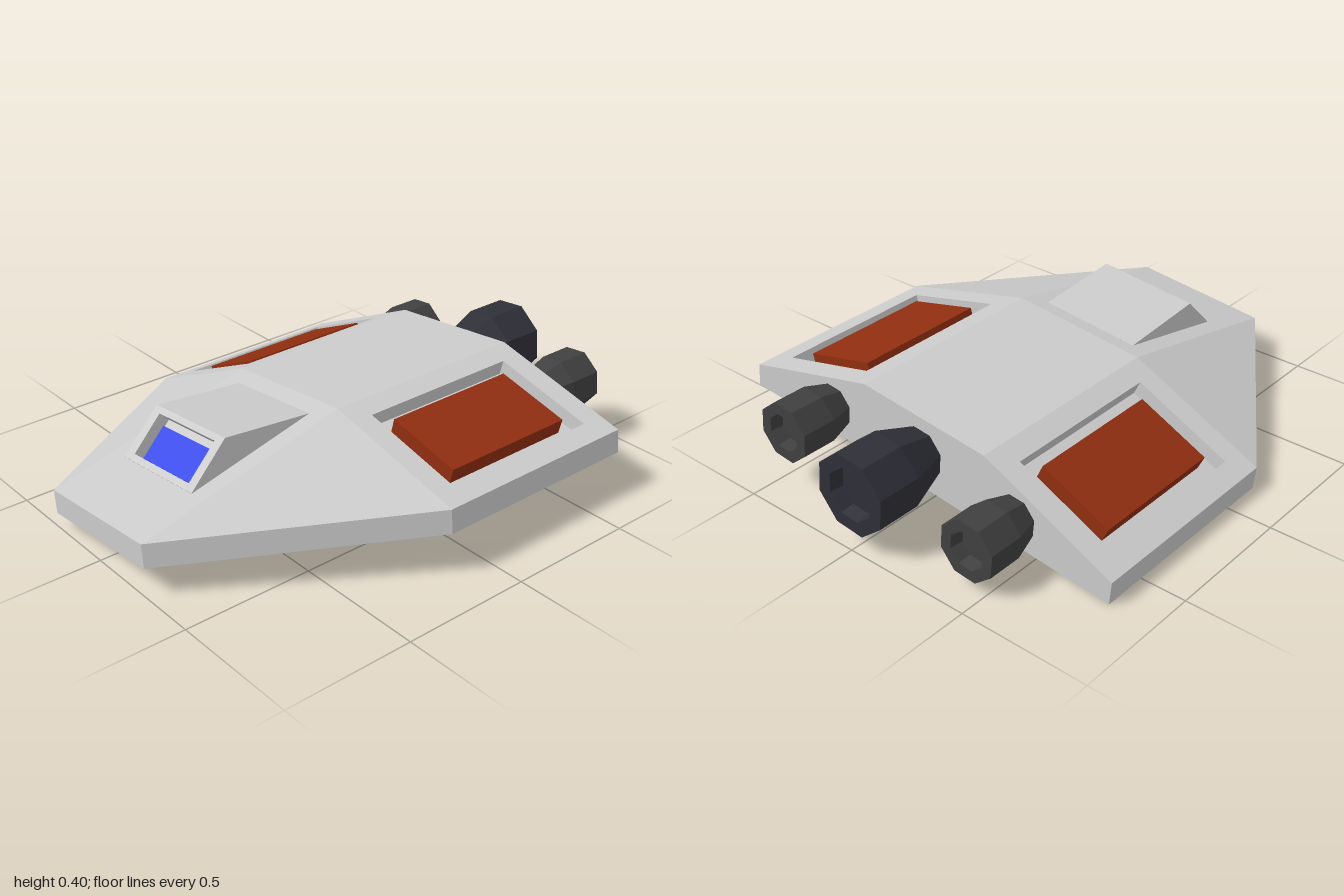
import * as THREE from 'three';

const hullMat = new THREE.MeshStandardMaterial({ color: 0xcccccc, flatShading: true });
const paint = (color) => new THREE.MeshStandardMaterial({ color, flatShading: true, side: THREE.DoubleSide });

// Hull dimensions: half widths, heights and stations along z
const W = 0.832, R = 0.277, H = 0.09, T = 0.284;
const BACK = -0.67, MID = 0.16, NOSE = 1;

function add(parent, name, geometry, material) {
  const mesh = new THREE.Mesh(geometry, material);
  mesh.name = name;
  parent.add(mesh);
  return mesh;
}

// Flat-sided solid from convex polygons, each listed counter-clockwise from outside
function faceted(polygons) {
  const pos = [];
  for (const p of polygons)
    for (let i = 1; i < p.length - 1; i++) pos.push(...p[0], ...p[i], ...p[i + 1]);
  const g = new THREE.BufferGeometry();
  g.setAttribute('position', new THREE.Float32BufferAttribute(pos, 3));
  g.computeVertexNormals();
  return g;
}

// Same polygon on the other side of the hull
const mirror = (poly) => poly.map(([x, y, z]) => [-x, y, z]).reverse();

// Group lying on a sloped facet: local x and y along it, local z outward
function onFacet(parent, name, origin, xDir, yDir) {
  const x = new THREE.Vector3(...xDir).normalize();
  const y = new THREE.Vector3(...yDir).normalize();
  const group = new THREE.Group();
  group.name = name;
  group.applyMatrix4(new THREE.Matrix4().makeBasis(x, y, x.clone().cross(y)).setPosition(...origin));
  parent.add(group);
  return group;
}

function rect(Type, x0, x1, y0, y1) {
  return new Type([[x0, y0], [x1, y0], [x1, y1], [x0, y1]].map((p) => new THREE.Vector2(...p)));
}

function plateShape(outer, hole) {
  const shape = rect(THREE.Shape, ...outer);
  shape.holes.push(rect(THREE.Path, ...hole));
  return shape;
}

// Skin plate with a sunken pocket
function pocketPlate(parent, outer, hole, depth) {
  const g = new THREE.ExtrudeGeometry(plateShape(outer, hole), { depth, bevelEnabled: false });
  add(parent, 'skinPlate', g.translate(0, 0, -depth), hullMat);
  const [x0, x1, y0, y1] = hole;
  add(parent, 'pocketFloor', new THREE.PlaneGeometry(x1 - x0, y1 - y0), hullMat)
    .position.set((x0 + x1) / 2, (y0 + y1) / 2, -depth);
}

function buildHull(craft) {
  const outline = [[W, BACK], [W, MID], [R, NOSE], [-R, NOSE], [-W, MID], [-W, BACK]];
  const cheek = [[R, T, MID], [R, H, NOSE], [W, H, MID]];
  const polygons = [
    outline.map(([x, z]) => [x, 0, z]),
    [[-W, H, BACK], [-R, T, BACK], [R, T, BACK], [W, H, BACK]],
    [[-R, T, BACK], [-R, T, MID], [R, T, MID], [R, T, BACK]],
    cheek, mirror(cheek),
  ];
  // Low vertical rim all round
  outline.forEach(([x, z], i) => {
    const [x2, z2] = outline[(i + 1) % outline.length];
    polygons.push([[x, 0, z], [x, H, z], [x2, H, z2], [x2, 0, z2]]);
  });
  add(craft, 'hull', faceted(polygons), hullMat);

  // Sloping nose deck, open beneath the cockpit
  const deck = onFacet(craft, 'noseDeck', [0, (T + H) / 2, (MID + NOSE) / 2], [1, 0, 0], [0, T - H, MID - NOSE]);
  const half = Math.hypot(T - H, NOSE - MID) / 2;
  add(deck, 'deckPlate', new THREE.ShapeGeometry(
    plateShape([-R, R, -half, half], [-0.205, 0.205, -0.169, 0.359])), hullMat);
}

// Side slopes, each with a red panel set into a pocket
function buildWings(craft) {
  const half = Math.hypot(W - R, T - H) / 2;
  const red = paint(0x902e10);
  for (const s of [1, -1]) {
    const wing = onFacet(craft, s > 0 ? 'leftWing' : 'rightWing',
      [s * (W + R) / 2, (T + H) / 2, 0], [W - R, s * (H - T), 0], [0, 0, -1]);
    pocketPlate(wing, [-half, half, -MID, -BACK], [-0.208, 0.208, -0.075, 0.58], 0.06);
    add(wing, 'redPanel', new THREE.BoxGeometry(0.304, 0.545, 0.06), red).position.set(0, 0.2525, -0.03);
  }
}

// Wedge cockpit with a sunken blue window
function buildCockpit(craft) {
  const C = 0.205;
  const [tail, peak, foot] = [[0.268, 0.23], [0.299, 0.59], [0.15, 0.745]];
  const side = [tail, peak, foot].map((p) => [C, ...p]);
  add(craft, 'cockpit', faceted([
    side, mirror(side),
    [[-C, ...tail], [-C, ...peak], [C, ...peak], [C, ...tail]],
  ]), hullMat);
  const dy = peak[0] - foot[0], dz = peak[1] - foot[1];
  const front = onFacet(craft, 'cockpitFront',
    [0, (peak[0] + foot[0]) / 2, (peak[1] + foot[1]) / 2], [1, 0, 0], [0, dy, dz]);
  const half = Math.hypot(dy, dz) / 2;
  pocketPlate(front, [-C, C, -half, half], [-0.166, 0.166, -0.082, 0.084], 0.05);
  add(front, 'window', new THREE.BoxGeometry(0.32, 0.135, 0.012), paint(0x3548e8)).position.set(0, -0.012, -0.044);
}

// Eight-sided nozzle pointing backwards, with a shallow bore
function nozzle(craft, name, x, y, [neck, rim, bore], flare, length, color) {
  const profile = [[0, -0.01], [neck, -0.01], [rim, flare], [rim, length], [bore, length],
    [bore * 0.9, length - 0.05], [0, length - 0.05]].map((p) => new THREE.Vector2(...p));
  const g = new THREE.LatheGeometry(profile, 8, Math.PI / 8).rotateX(-Math.PI / 2);
  add(craft, name, g, paint(color)).position.set(x, y, BACK);
}

export function createModel() {
  const model = new THREE.Group();
  model.name = 'spacecraft';

  // The whole craft rests on its right edge, rolled slightly
  const craft = new THREE.Group();
  craft.name = 'craft';
  craft.rotation.z = 0.1023;
  craft.position.set(0.0025, 0.085, 0);
  model.add(craft);

  buildHull(craft);
  buildWings(craft);
  buildCockpit(craft);
  nozzle(craft, 'mainEngine', 0, 0.143, [0.094, 0.154, 0.1], 0.16, 0.33, 0x2f2f38);
  for (const s of [1, -1])
    nozzle(craft, s > 0 ? 'leftEngine' : 'rightEngine', s * 0.428, 0.114, [0.082, 0.116, 0.072], 0.1, 0.235, 0x404040);
  return model;
}
